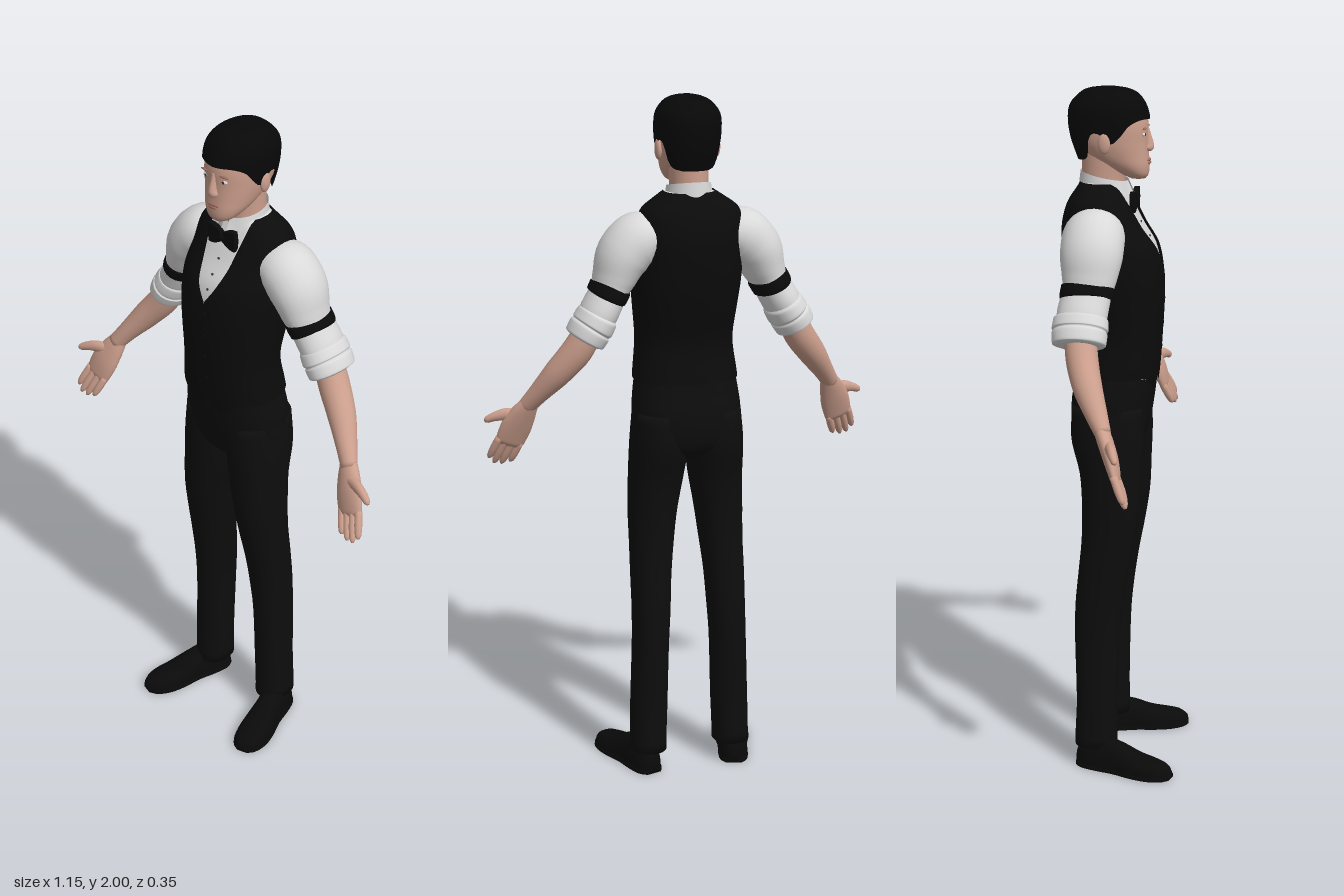
import * as THREE from 'three';

const mat = (name, color, side = THREE.FrontSide) => {
  const m = new THREE.MeshStandardMaterial({ color, side });
  m.name = name;
  return m;
};
const M = {
  cloth: mat('black cloth', 0x0b0b0b, THREE.DoubleSide),
  trousers: mat('trouser black', 0x0d0d0d),
  shoe: mat('shoe black', 0x0a0a0a),
  hair: mat('black hair', 0x080808, THREE.DoubleSide),
  shirt: mat('white shirt', 0xd9d9d9, THREE.DoubleSide),
  skin: mat('skin', 0xcc9f8d),
  lip: mat('lip brown', 0x9c6a5c),
  button: mat('grey button', 0x3a3a3a),
};

// Surface from f(u, v): u runs around, v runs along; optionally closed around and at the ends
function grid(f, nu, nv, { wrap = true, cap0 = false, cap1 = false } = {}) {
  const cols = wrap ? nu : nu + 1, pos = [], idx = [], rows = [];
  for (let j = 0; j <= nv; j++) {
    const row = [];
    for (let i = 0; i < cols; i++) row.push(f(i / nu, j / nv));
    rows.push(row);
  }
  const centre = (row) => {
    const c = [0, 1, 2].map((k) => row.reduce((s, p) => s + p[k], 0) / cols);
    return row.map(() => c);
  };
  if (cap0) rows.unshift(centre(rows[0]));
  if (cap1) rows.push(centre(rows[rows.length - 1]));
  rows.forEach((r) => r.forEach((p) => pos.push(...p)));
  for (let j = 0; j < rows.length - 1; j++) {
    for (let i = 0; i < nu; i++) {
      const i2 = wrap ? (i + 1) % nu : i + 1;
      const a = j * cols + i, b = j * cols + i2, c = b + cols, d = a + cols;
      idx.push(a, b, c, a, c, d);
    }
  }
  const g = new THREE.BufferGeometry();
  g.setAttribute('position', new THREE.Float32BufferAttribute(pos, 3));
  g.setIndex(idx);
  g.computeVertexNormals();
  return g;
}

// Smooth lookup in a table of rows whose first column ascends
function sample(rows, y) {
  const n = rows.length;
  let i = 0;
  while (i < n - 2 && y > rows[i + 1][0]) i++;
  const A = rows[i], B = rows[i + 1], h = B[0] - A[0];
  const t = THREE.MathUtils.clamp((y - A[0]) / h, 0, 1);
  const P = rows[Math.max(i - 1, 0)], N = rows[Math.min(i + 2, n - 1)];
  return A.map((a, k) => {
    const m0 = (B[k] - P[k]) / (B[0] - P[0]), m1 = (N[k] - A[k]) / (N[0] - A[0]);
    return (2 * t ** 3 - 3 * t * t + 1) * a + (t ** 3 - 2 * t * t + t) * h * m0
      + (3 * t * t - 2 * t ** 3) * B[k] + (t ** 3 - t * t) * h * m1;
  });
}

// Point on a horizontal rounded section; rows are [y, centre x, half width, front z, back z]
const pw = (v, p) => Math.sign(v) * Math.abs(v) ** (2 / p);
function ringPoint(rows, y, phi, p, off = 0) {
  const [, cx, rx, zf, zb] = sample(rows, y);
  return [cx + (rx + off) * pw(Math.sin(phi), p), y, (zf + zb) / 2 + ((zf - zb) / 2 + off) * pw(Math.cos(phi), p)];
}
const upright = (rows, p, off = 0, nu = 40, nv = 36) => {
  const y0 = rows[0][0], y1 = rows[rows.length - 1][0];
  return grid((u, v) => ringPoint(rows, y0 + (y1 - y0) * v, u * Math.PI * 2, p, off), nu, nv, { cap0: true, cap1: true });
};

// Limb along a path; rows are [x, y, z, half width, half depth]
function limb(rows, nu = 24, sub = 5) {
  const path = new THREE.CatmullRomCurve3(rows.map((r) => new THREE.Vector3(r[0], r[1], r[2])));
  const size = new THREE.CatmullRomCurve3(rows.map((r) => new THREE.Vector3(r[3], r[4], 0)));
  return grid((u, v) => {
    const c = path.getPoint(v), s = size.getPoint(v), T = path.getTangent(v);
    const V = new THREE.Vector3(0, 0, 1).addScaledVector(T, -T.z).normalize();
    const U = T.clone().cross(V), phi = u * Math.PI * 2;
    return c.addScaledVector(U, s.x * Math.sin(phi)).addScaledVector(V, s.y * Math.cos(phi)).toArray();
  }, nu, (rows.length - 1) * sub, { cap0: true, cap1: true });
}

function mirror(g) {
  const m = g.clone().scale(-1, 1, 1), a = m.index.array;
  for (let i = 0; i < a.length; i += 3) [a[i], a[i + 1]] = [a[i + 1], a[i]];
  m.computeVertexNormals();
  return m;
}
const ball = (x, y, z, sx, sy, sz) => new THREE.SphereGeometry(1, 20, 14).scale(sx, sy, sz).translate(x, y, z);

const TORSO = [[1.14, 0, .152, .096, -.145], [1.2, 0, .148, .103, -.132], [1.3, 0, .138, .11, -.117],
  [1.4, 0, .146, .115, -.142], [1.47, 0, .153, .113, -.158], [1.55, 0, .155, .098, -.168], [1.61, 0, .152, .062, -.17],
  [1.66, 0, .146, .036, -.16], [1.69, 0, .134, .02, -.147], [1.715, 0, .1, .01, -.13], [1.735, 0, .07, .003, -.118]];
const NECKLINE = [[1.505, 0], [1.55, .028], [1.6, .045], [1.65, .054], [1.7, .062], [1.735, .064]];
const HIPS = [[.96, 0, .06, .03, -.09], [.99, 0, .12, .062, -.128], [1.03, 0, .157, .076, -.144], [1.1, 0, .158, .088, -.147],
  [1.15, 0, .153, .094, -.138], [1.22, 0, .142, .096, -.124]];
const LEG = [[.065, .128, .053, 0, -.124], [.1, .128, .053, 0, -.124], [.2, .125, .054, 0, -.12], [.4, .119, .053, .006, -.125],
  [.5, .115, .055, .016, -.124], [.6, .112, .058, .031, -.115], [.7, .106, .063, .05, -.106], [.8, .1, .07, .065, -.105],
  [.9, .09, .078, .07, -.113], [1, .083, .082, .074, -.138], [1.1, .08, .076, .07, -.135]];
const HEAD = [[1.745, 0, .022, .064, .02], [1.755, 0, .04, .071, 0], [1.78, 0, .059, .074, -.05], [1.81, 0, .071, .072, -.1],
  [1.85, 0, .08, .07, -.135], [1.9, 0, .083, .07, -.146], [1.94, 0, .079, .06, -.143], [1.97, 0, .062, .04, -.12], [1.985, 0, .035, .01, -.09]];
const HAIR = [[1.79, 0, .07, .07, -.125], [1.82, 0, .08, .074, -.136], [1.86, 0, .087, .076, -.149], [1.91, 0, .091, .075, -.156],
  [1.95, 0, .087, .064, -.15], [1.98, 0, .066, .042, -.124], [1.993, 0, .043, .015, -.1], [2, 0, .012, -.025, -.055]];
const faceZ = (x, y) => {
  const [, , rx, zf, zb] = sample(HEAD, y), r = (zf - zb) / 2;
  return (zf + zb) / 2 + r * (1 - Math.abs(x / rx) ** 2.2) ** (1 / 2.2);
};

export function createModel() {
  const root = new THREE.Group();
  const add = (name, geo, m) => {
    const mesh = new THREE.Mesh(geo, m);
    mesh.name = name;
    root.add(mesh);
  };
  const pair = (name, geo, m) => {
    add('left ' + name, geo, m);
    add('right ' + name, mirror(geo), m);
  };

  // Shirt body and waistcoat with its open neckline and pointed hem
  add('shirt body', upright(TORSO, 2.4, -.006), M.shirt);
  add('waistcoat', grid((u, v) => {
    const y = 1.19 + .545 * v;
    const w = y > 1.505 ? sample(NECKLINE, y)[1] : 0;
    const open = Math.asin(Math.min(1, (w / sample(TORSO, y)[2]) ** 1.2));
    const phi = open + (2 * Math.PI - 2 * open) * u;
    const q = ringPoint(TORSO, y, phi, 2.4);
    const point = Math.cos(phi) > 0 ? Math.exp(-(((Math.abs(q[0]) - .05) / .035) ** 2)) : 0;
    return ringPoint(TORSO, y - .045 * point * Math.max(0, 1 - v * 5), phi, 2.4, .002);
  }, 72, 60, { wrap: false }), M.cloth);
  for (let i = 0; i < 4; i++) {
    const y = 1.26 + i * .07;
    add('waistcoat button', ball(.006, y, sample(TORSO, y)[3] + .002, .006, .006, .003), M.cloth);
  }
  for (const y of [1.54, 1.58, 1.62]) add('shirt button', ball(0, y, sample(TORSO, y)[3] - .006, .004, .004, .003), M.button);

  // Collar with two dropped points, and the bow tie
  add('collar', grid((u, v) => {
    const phi = .14 + (2 * Math.PI - .28) * u, f = Math.min(phi, 2 * Math.PI - phi);
    const low = 1.7 - .035 * Math.exp(-(((f - .5) / .28) ** 2)), top = 1.752 - .014 * Math.cos(phi);
    const r = .062 + .008 * (1 - v);
    return [r * Math.sin(phi), low + (top - low) * v, -.053 + (r + .006 + .012 * (1 - v) * Math.max(0, Math.cos(phi))) * Math.cos(phi)];
  }, 56, 6, { wrap: false }), M.shirt);
  const bow = new THREE.Shape();
  bow.moveTo(0, .01);
  bow.quadraticCurveTo(.025, .03, .046, .028);
  bow.quadraticCurveTo(.052, 0, .046, -.028);
  bow.quadraticCurveTo(.025, -.03, 0, -.01);
  bow.quadraticCurveTo(-.025, -.03, -.046, -.028);
  bow.quadraticCurveTo(-.052, 0, -.046, .028);
  bow.quadraticCurveTo(-.025, .03, 0, .01);
  add('bow tie', new THREE.ExtrudeGeometry(bow, { depth: .01, bevelSize: .002, bevelThickness: .003, bevelSegments: 2 }).translate(0, 1.682, .028), M.cloth);
  add('bow tie knot', ball(0, 1.682, .036, .011, .014, .011), M.cloth);

  // Trousers and shoes
  add('trouser hips', upright(HIPS, 2.3), M.trousers);
  pair('trouser leg', upright(LEG, 2.2), M.trousers);
  const SHOE = [[0, .02, .05], [.02, .036, .08], [.07, .042, .095], [.13, .042, .085], [.19, .05, .06], [.24, .049, .048], [.28, .035, .038], [.298, .014, .022]];
  const shoe = (grow, height) => grid((u, v) => {
    const [d, w, h] = sample(SHOE, v * .298), phi = u * Math.PI * 2;
    return [-(w + grow) * pw(Math.sin(phi), 2.5), (height || h) * Math.max(0, Math.cos(phi)) ** (height ? .2 : .75), d];
  }, 28, 24, { cap0: true, cap1: true }).rotateY(.28).translate(.125, 0, -.115);
  pair('shoe', shoe(0), M.shoe);
  pair('shoe sole', shoe(.003, .013), M.shoe);

  // Sleeves, arm bands and rolled cuffs
  pair('sleeve', limb([[.1, 1.615, -.06, .062, .075], [.155, 1.6, -.06, .08, .088], [.195, 1.56, -.06, .076, .088],
    [.222, 1.5, -.062, .061, .077], [.24, 1.46, -.066, .052, .069], [.268, 1.41, -.074, .054, .071], [.292, 1.37, -.077, .048, .066]]), M.shirt);
  pair('arm band', limb([[.231, 1.478, -.064, .052, .068], [.2325, 1.474, -.064, .058, .075], [.246, 1.45, -.068, .057, .074], [.248, 1.446, -.068, .05, .068]]), M.cloth);
  pair('rolled cuff', limb([[.27, 1.404, -.077, .05, .066], [.274, 1.397, -.077, .058, .076], [.289, 1.372, -.077, .06, .079],
    [.293, 1.366, -.077, .056, .074], [.297, 1.36, -.077, .06, .078], [.312, 1.335, -.076, .058, .075], [.315, 1.33, -.076, .045, .06]]), M.shirt);

  // Forearms and open hands, palms forward
  pair('forearm', limb([[.295, 1.365, -.075, .04, .045], [.33, 1.3, -.065, .044, .045], [.38, 1.235, -.042, .04, .041],
    [.428, 1.172, -.01, .03, .031], [.462, 1.125, .015, .025, .022]]), M.skin);
  pair('palm', limb([[.45, 1.142, .005, .024, .021], [.468, 1.105, .022, .037, .022], [.487, 1.06, .04, .045, .02],
    [.503, 1.015, .054, .042, .014], [.507, 1.004, .057, .034, .008]]), M.skin);
  for (let k = 0; k < 4; k++) {
    const o = (k - 1.5) * .021, len = [.068, .082, .086, .074][k];
    const x = .503 + o * .94, y = 1.02 + o * .33;
    const step = (t, r) => [x + len * .36 * t, y - len * .9 * t, .053 + len * .4 * t, r, r];
    pair('finger', limb([step(0, .011), step(.5, .0115), step(.88, .009), step(1, .004)], 12, 3), M.skin);
  }
  pair('thumb', limb([[.475, 1.1, .028, .018, .016], [.515, 1.1, .042, .018, .014], [.548, 1.092, .053, .013, .012],
    [.567, 1.083, .06, .01, .009], [.573, 1.079, .062, .004, .004]], 14, 4), M.skin);

  // Head and neck
  add('neck', upright([[1.68, 0, .058, .006, -.12], [1.74, 0, .055, .006, -.118], [1.82, 0, .056, .02, -.118]], 2), M.skin);
  add('head', upright(HEAD, 2.2), M.skin);
  add('nose', limb([[0, 1.824, .066, .012, .008], [0, 1.832, .07, .0165, .016], [0, 1.842, .07, .013, .016],
    [0, 1.865, .068, .009, .011], [0, 1.89, .064, .008, .007]], 16), M.skin);
  pair('ear', ball(.085, 1.852, -.042, .01, .03, .018).rotateY(0), M.skin);

  // Hair cap with hairline, sideburns and nape
  const hairLine = [[0, 1.912], [.6, 1.914], [1.0, 1.9], [1.25, 1.87], [1.5, 1.85], [1.7, 1.878], [1.95, 1.87], [2.15, 1.815], [2.5, 1.8], [3.15, 1.798]];
  add('hair', grid((u, v) => {
    const phi = u * Math.PI * 2, low = sample(hairLine, Math.min(phi, 2 * Math.PI - phi))[1];
    const y = low + (2 - low) * (1 - (1 - v) ** 1.6);
    return ringPoint(HAIR, y, phi, 2.2);
  }, 72, 28, { cap1: true }), M.hair);

  // Face details
  const ex = .032, ey = 1.872;
  pair('eye', ball(ex, ey, faceZ(ex, ey) - .002, .012, .005, .005), M.shirt);
  pair('iris', ball(ex, ey, faceZ(ex, ey) + .002, .0045, .0045, .002), M.button);
  pair('eyebrow', ball(ex, 1.888, faceZ(ex, 1.888), .018, .003, .005).rotateY(0), M.lip);
  add('upper lip', ball(0, 1.797, faceZ(0, 1.797), .02, .004, .005), M.lip);
  add('lower lip', ball(0, 1.789, faceZ(0, 1.789), .016, .004, .005), M.lip);
  return root;
}
